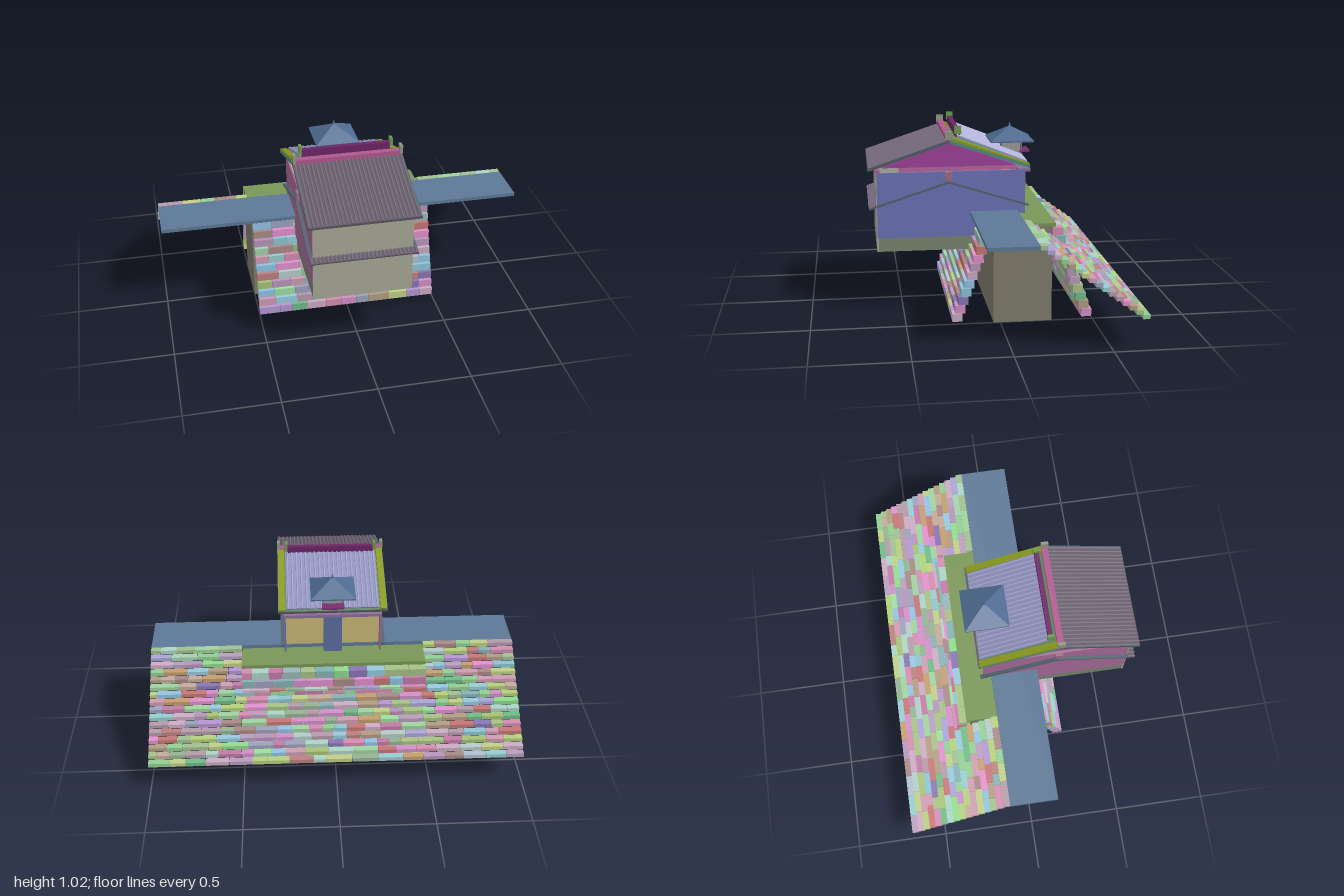
import * as THREE from 'three';

export function createModel() {
  const root = new THREE.Group();
  const unit = new THREE.BoxGeometry(1, 1, 1);
  const mat = (color) => new THREE.MeshStandardMaterial({ color });

  function add(name, geo, color, parent = root) {
    const m = new THREE.Mesh(geo, mat(color));
    m.name = name;
    parent.add(m);
    return m;
  }
  // Box given by its limits on each axis
  function box(name, color, x0, x1, y0, y1, z0, z1, parent) {
    const m = add(name, unit, color, parent);
    m.scale.set(x1 - x0, y1 - y0, z1 - z0);
    m.position.set((x0 + x1) / 2, (y0 + y1) / 2, (z0 + z1) / 2);
    return m;
  }
  // Bar running from one (z, y) point to another, centred on x
  function slope(name, color, x, width, thick, [za, ya], [zb, yb], parent) {
    const m = add(name, unit, color, parent);
    m.scale.set(width, thick, Math.hypot(zb - za, yb - ya));
    m.position.set(x, (ya + yb) / 2, (za + zb) / 2);
    m.rotation.x = Math.atan2(ya - yb, zb - za);
    return m;
  }

  // Seeded random numbers
  let seed = 7;
  const rnd = () => (seed = (seed * 16807) % 2147483647) / 2147483647;
  const stoneMats = [];
  for (let i = 0; i < 40; i++) {
    stoneMats.push(new THREE.MeshStandardMaterial({
      color: new THREE.Color().setHSL(rnd(), 0.15 + rnd() * 0.4, 0.3 + rnd() * 0.25)
    }));
  }
  // One course of stones of uneven length
  function course(parent, x0, x1, y, z, h, d, minLen, maxLen) {
    let x = x0;
    while (x < x1 - 0.001) {
      let len = minLen + rnd() * (maxLen - minLen);
      if (x1 - x - len < minLen * 0.6) len = x1 - x;
      const m = new THREE.Mesh(unit, stoneMats[Math.floor(rnd() * stoneMats.length)]);
      m.name = 'stone';
      m.scale.set(len - 0.002, h, d);
      m.position.set(x + len / 2, y, z);
      parent.add(m);
      x += len;
    }
  }
  function group(name) {
    const g = new THREE.Group();
    g.name = name;
    root.add(g);
    return g;
  }

  // Stone base: core, two battered walls and a long stepped slope
  box('wallCore', 0x7f7a6b, -0.5, 0.5, 0, 0.52, -0.277, 0.035);
  box('wallCap', 0x7a9657, -0.5, 0.5, 0.517, 0.537, -0.295, 0.05);
  const frontWall = group('frontStoneWall');
  const backWall = group('backStoneWall');
  for (let i = 0; i < 11; i++) {
    const y = 0.034 + i * 0.0457;
    course(frontWall, -0.5, 0.5, y, 0.228 - i * 0.0161, 0.043, 0.055, 0.07, 0.14);
    course(backWall, -0.5, 0.5, y, -0.468 + i * 0.0161, 0.043, 0.055, 0.07, 0.14);
  }
  const bank = group('stoneSlope');
  for (let i = 0; i < 16; i++) {
    const y = 0.175 + i * 0.0248, z = -0.661 + i * 0.0345;
    if (i < 14) course(bank, -1, 1, y, z, 0.022, 0.036, 0.06, 0.14);
    else for (const [a, b] of [[-1, -0.5], [0.5, 1]]) course(bank, a, b, y, z, 0.022, 0.036, 0.06, 0.14);
  }
  box('walkway', 0x5d7896, -1, 1, 0.537, 0.557, -0.125, 0.132);

  // House body
  const house = group('house');
  box('lowerFloor', 0x77856f, -0.262, 0.262, 0.345, 0.42, 0.035, 0.633, house);
  box('mainRoom', 0x8f8f85, -0.258, 0.258, 0.42, 0.778, 0.035, 0.633, house);
  box('rearRoom', 0xc9b877, -0.258, 0.258, 0.537, 0.778, -0.12, 0.035, house);
  box('frontWallPanel', 0xa6a795, -0.265, 0.265, 0.345, 0.78, 0.628, 0.637, house);
  for (const [s, color] of [[1, 0x6a71b5], [-1, 0xa86a98]]) {
    const a = s > 0 ? 0.256 : -0.266;
    box('sideWall', color, a, a + 0.01, 0.42, 0.778, 0.035, 0.633, house);
    box('rearSideWall', color, a, a + 0.01, 0.537, 0.778, -0.168, 0.035, house);
  }
  box('upperBand', 0xb5659f, -0.252, 0.252, 0.778, 0.806, -0.12, 0.51, house);
  box('rearBeam', 0x8a6f9a, -0.265, 0.265, 0.768, 0.785, -0.195, -0.125, house);

  // Gable prism, outlined in z and y and extruded across x
  const tri = new THREE.Shape([[-0.6, 0.803], [0.12, 0.803], [-0.245, 0.932]].map(p => new THREE.Vector2(...p)));
  const gable = new THREE.ExtrudeGeometry(tri, { depth: 0.51, bevelEnabled: false });
  gable.rotateY(Math.PI / 2).translate(-0.255, 0, 0);
  add('gable', gable, 0x9c3f96, house);

  // Main roof with rows of round tiles
  const roof = group('roof');
  const ridge = [0.245, 0.945], eaveF = [0.675, 0.802], eaveB = [-0.185, 0.802];
  slope('frontRoofSlab', 0x5f5863, 0, 0.58, 0.008, eaveF, ridge, roof);
  slope('backRoofSlab', 0x5f8a5c, 0, 0.58, 0.008, eaveB, ridge, roof);
  const upperB = [-0.18, 0.817], upperTop = [0.2, 0.968];
  slope('backRoofSheet', 0x9091bd, 0, 0.5, 0.008, upperB, upperTop, roof);
  const rod = new THREE.CylinderGeometry(1, 1, 1, 8).rotateX(Math.PI / 2);
  function tileRows(name, color, count, halfWidth, r, a, b) {
    for (let i = 0; i < count; i++) {
      const x = -halfWidth + 2 * halfWidth * i / (count - 1);
      const t = slope(name, color, x, r, r, a, b, roof);
      t.geometry = rod;
    }
  }
  tileRows('frontTileRow', 0x75697c, 27, 0.285, 0.006, [0.675, 0.806], [0.245, 0.949]);
  tileRows('backTileRow', 0xa3a4cf, 20, 0.24, 0.005, [-0.18, 0.821], [0.2, 0.972]);
  for (const s of [-1, 1]) {
    slope('backRoofVerge', 0x8a9a1c, s * 0.275, 0.035, 0.016, [-0.185, 0.808], [0.23, 0.955], roof);
    slope('frontBarge', 0x4d5e66, s * 0.29, 0.01, 0.016, eaveF, ridge, roof);
    slope('backBarge', 0x4d8a80, s * 0.29, 0.01, 0.016, eaveB, ridge, roof);
    const x = s * 0.288, x2 = s * 0.245;
    box('ridgeEnd', 0x8f9a80, x - 0.008, x + 0.008, 0.955, 1.0, 0.227, 0.267, roof);
    box('rearRidgeEnd', 0x6b9a4d, x2 - 0.008, x2 + 0.008, 0.978, 1.022, 0.177, 0.213, roof);
  }
  box('ridgeBeam', 0xb0588f, -0.295, 0.295, 0.943, 0.97, 0.228, 0.262, roof);
  box('rearRidgeBeam', 0x6d2466, -0.24, 0.24, 0.96, 1.0, 0.182, 0.208, roof);
  box('frontEave', 0x57505a, -0.295, 0.295, 0.796, 0.806, 0.667, 0.68, roof);
  box('backEave', 0x57505a, -0.295, 0.295, 0.796, 0.806, -0.192, -0.18, roof);

  // Narrow lower eaves around the sides and front
  const skirt = group('lowerEaves');
  const peak = [0.247, 0.722];
  for (const s of [-1, 1]) {
    for (const end of [[0.675, 0.585], [-0.185, 0.585]]) {
      slope('sideSkirt', 0x4f5f6b, s * 0.274, 0.022, 0.009, end, peak, skirt);
    }
    box('skirtPeakBlock', 0x9a6f88, s * 0.271 - 0.009, s * 0.271 + 0.009, 0.73, 0.778, 0.227, 0.267, skirt);
  }
  slope('frontSkirt', 0x5f5863, 0, 0.57, 0.008, [0.675, 0.587], [0.632, 0.601], skirt);
  for (let i = 0; i < 27; i++) {
    const t = slope('skirtTile', 0x75697c, -0.275 + i * 0.55 / 26, 0.006, 0.006, [0.677, 0.591], [0.632, 0.605], skirt);
    t.geometry = rod;
  }
  box('frontUpperTrim', 0xb0588f, -0.262, 0.262, 0.778, 0.79, 0.615, 0.637, skirt);

  // Rear turret with pyramid cap
  const turret = group('turret');
  box('turretShaft', 0x5c6da0, -0.05, 0.05, 0.537, 0.83, -0.172, -0.07, turret);
  box('turretBand', 0x9a9a9a, -0.052, 0.052, 0.815, 0.888, -0.174, -0.068, turret);
  for (const x of [-0.052, 0.052]) for (const z of [-0.177, -0.065]) {
    box('turretPost', 0x70707a, x - 0.004, x + 0.004, 0.78, 0.906, z - 0.004, z + 0.004, turret);
  }
  box('turretRail', 0x7a2d70, -0.06, 0.06, 0.835, 0.845, -0.225, -0.17, turret);
  box('turretRoofEdge', 0x4d6a90, -0.12, 0.12, 0.9, 0.907, -0.24, 0, turret);
  const cap = new THREE.ConeGeometry(0.12 * Math.SQRT2, 0.07, 4).toNonIndexed();
  cap.rotateY(Math.PI / 4).computeVertexNormals();
  add('turretRoof', cap, 0x4d6a90, turret).position.set(0, 0.942, -0.12);
  add('finial', new THREE.ConeGeometry(0.012, 0.04, 8), 0x4d6a90, turret).position.set(0, 0.98, -0.12);

  return root;
}
